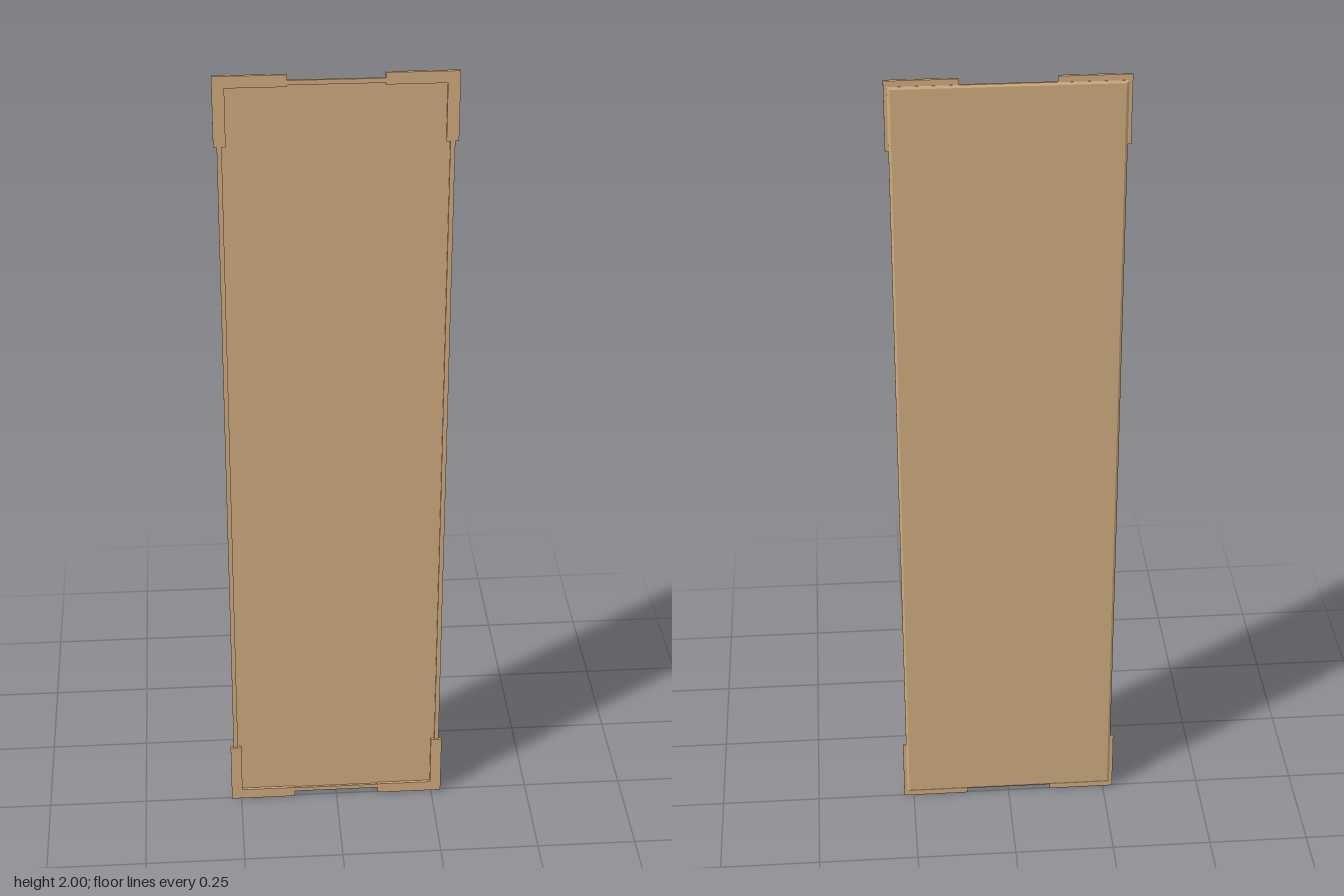
import * as THREE from 'three';

const tan = new THREE.MeshStandardMaterial({ color: 0xdeb887, flatShading: true });

// Rectangular loops [half width, half height, z], joined from back to front and capped
function loftRects(loops) {
  const pos = [];
  const rings = loops.map(([w, h, z]) => [[-w, -h, z], [w, -h, z], [w, h, z], [-w, h, z]]);
  const quad = (a, b, c, d) => pos.push(...a, ...b, ...c, ...a, ...c, ...d);
  const back = rings[0], front = rings[rings.length - 1];
  quad(back[3], back[2], back[1], back[0]);
  for (let i = 0; i < rings.length - 1; i++) {
    for (let k = 0; k < 4; k++) {
      const n = (k + 1) % 4;
      quad(rings[i][k], rings[i][n], rings[i + 1][n], rings[i + 1][k]);
    }
  }
  quad(...front);
  const geo = new THREE.BufferGeometry();
  geo.setAttribute('position', new THREE.Float32BufferAttribute(pos, 3));
  geo.computeVertexNormals();
  return geo;
}

export function createModel() {
  const group = new THREE.Group();

  // Shallow panel: bevelled back edge, raised rim and recessed front
  const panel = new THREE.Mesh(loftRects([
    [0.261, 0.98, -0.0055],
    [0.267, 0.986, -0.003],
    [0.267, 0.986, 0.002],
    [0.256, 0.975, 0.002],
    [0.256, 0.975, -0.003],
  ]), tan);
  panel.name = 'panel';
  panel.position.y = 1;
  group.add(panel);

  // L-shaped corner brackets
  const halfW = 0.275, arm = 0.166, width = 0.028;
  for (const sx of [-1, 1]) {
    for (const sy of [-1, 1]) {
      const outline = [
        [halfW, 1], [halfW - arm, 1], [halfW - arm, 1 - width],
        [halfW - width, 1 - width], [halfW - width, 1 - arm], [halfW, 1 - arm],
      ].map(([x, y]) => new THREE.Vector2(sx * x, sy * y));
      const geo = new THREE.ExtrudeGeometry(new THREE.Shape(outline), { depth: 0.007, bevelEnabled: false });
      const bracket = new THREE.Mesh(geo, tan);
      bracket.name = (sy > 0 ? 'top' : 'bottom') + (sx > 0 ? 'Left' : 'Right') + 'CornerBracket';
      bracket.position.set(0, 1, -0.0025);
      group.add(bracket);
    }
  }
  return group;
}
